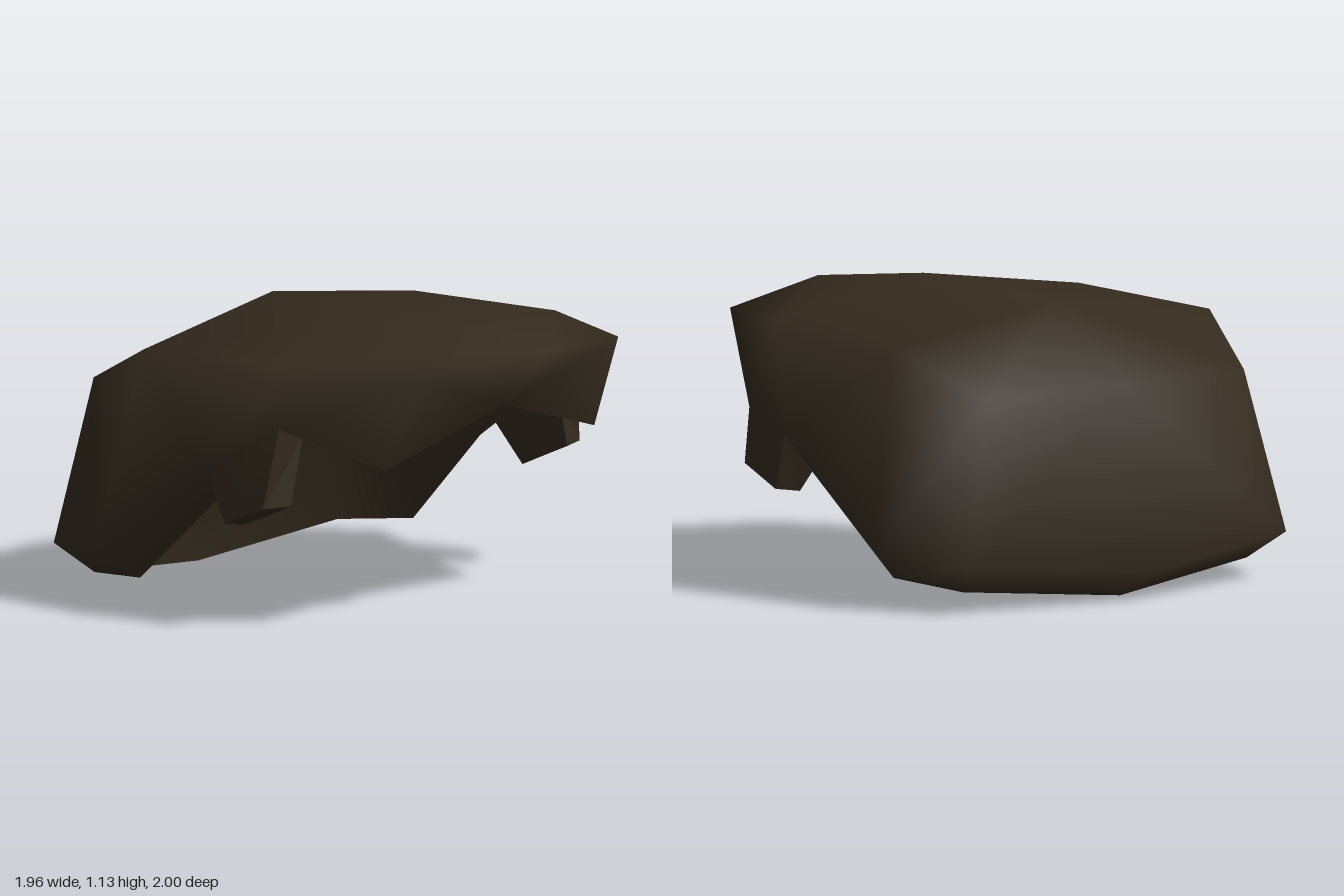
import * as THREE from 'three';
import { mergeVertices } from 'three/addons/utils/BufferGeometryUtils.js';

// Corner points of the +x half, named by row (front to back) and column (centre to side)
const OUTER = {
  a0: [0, 1.05, 1], a1: [0.6, 1, 0.82],
  lip: [0, 0.81, 0.76], a2: [0.62, 0.63, 0.68],
  b0: [0, 1.13, 0.37], b1: [0.77, 1.02, 0.35], b2: [0.88, 0.79, 0.36],
  s: [0.94, 0.48, 0.33], t: [0.945, 0.4, 0.14], n: [0.965, 0.62, 0.06],
  c0: [0, 1.11, -0.43], c1: [0.8, 1, -0.4], h: [0.98, 0.22, -0.5],
  d0: [0, 0.83, -0.86], d1: [0.65, 0.82, -0.785],
  e0: [0, 0.11, -1], e1: [0.8, 0.18, -0.86],
};
const INNER = {
  ib2: [0.75, 0.74, 0.37], is: [0.82, 0.48, 0.37], it: [0.82, 0.38, 0.14], in: [0.74, 0.56, 0.06],
  ih: [0.81, 0.1, -0.41], ie1: [0.72, 0.07, -0.72], ie0: [0, 0, -0.81],
  jb0: [0, 0.94, 0.32], jb1: [0.62, 0.86, 0.32],
  jc0: [0, 0.93, -0.35], jc1: [0.63, 0.84, -0.33],
  jd0: [0, 0.7, -0.7], jd1: [0.54, 0.68, -0.63],
};
const POINTS = { ...OUTER, ...INNER };

// Fans each named polygon into triangles and mirrors it across x = 0
function mirroredShell(faces, smooth) {
  const pos = [];
  for (const face of faces) {
    const p = face.map((name) => POINTS[name]);
    for (let i = 1; i < p.length - 1; i++) {
      pos.push(...p[0], ...p[i], ...p[i + 1]);
      for (const [x, y, z] of [p[0], p[i + 1], p[i]]) pos.push(-x, y, z);
    }
  }
  let g = new THREE.BufferGeometry();
  g.setAttribute('position', new THREE.Float32BufferAttribute(pos, 3));
  if (smooth) g = mergeVertices(g);
  g.computeVertexNormals();
  return g;
}

const split = (text) => text.split(', ').map((f) => f.split(' '));

export function createModel() {
  const group = new THREE.Group();
  group.name = 'hair';
  const hair = new THREE.MeshStandardMaterial({ color: 0x352b1f, side: THREE.DoubleSide });
  hair.name = 'dark brown hair';

  const add = (name, faces, smooth) => {
    const mesh = new THREE.Mesh(mirroredShell(faces, smooth), hair);
    mesh.name = name;
    group.add(mesh);
  };

  // Thickness along the lower edge, from brow corner to nape
  const outerEdge = ['a2', 'b2', 's', 't', 'n', 'h', 'e1', 'e0'];
  const innerEdge = ['a2', 'ib2', 'is', 'it', 'in', 'ih', 'ie1', 'ie0'];
  const rim = [];
  for (let i = 0; i < outerEdge.length - 1; i++) {
    const quad = [outerEdge[i + 1], outerEdge[i], innerEdge[i], innerEdge[i + 1]];
    rim.push([...new Set(quad)]);
  }

  // Crown, back, sides, overhanging fringe and the rounded nape edge
  add('outerHair', [...split(
    'a0 a1 b1 b0, b0 b1 c1 c0, c0 c1 d1 d0, d0 d1 e1 e0, lip a2 a1 a0, ' +
    'a1 a2 b2 b1, b1 b2 n, b1 n c1, n h c1, c1 h d1, h e1 d1, b2 s t n'),
  ...rim.slice(4)], true);

  // Crisp edges and inner faces of the sideburns
  add('sideburnEdges', [...rim.slice(0, 4), ['in', 'it', 'is', 'ib2']], false);

  // Hollow inside
  add('lining', split(
    'jb0 jb1 a2 lip, jc0 jc1 jb1 jb0, jd0 jd1 jc1 jc0, ie0 ie1 jd1 jd0, ' +
    'jb1 ib2 a2, jb1 in ib2, jb1 jc1 in, jc1 ih in, jc1 jd1 ih, jd1 ie1 ih'), true);

  return group;
}
